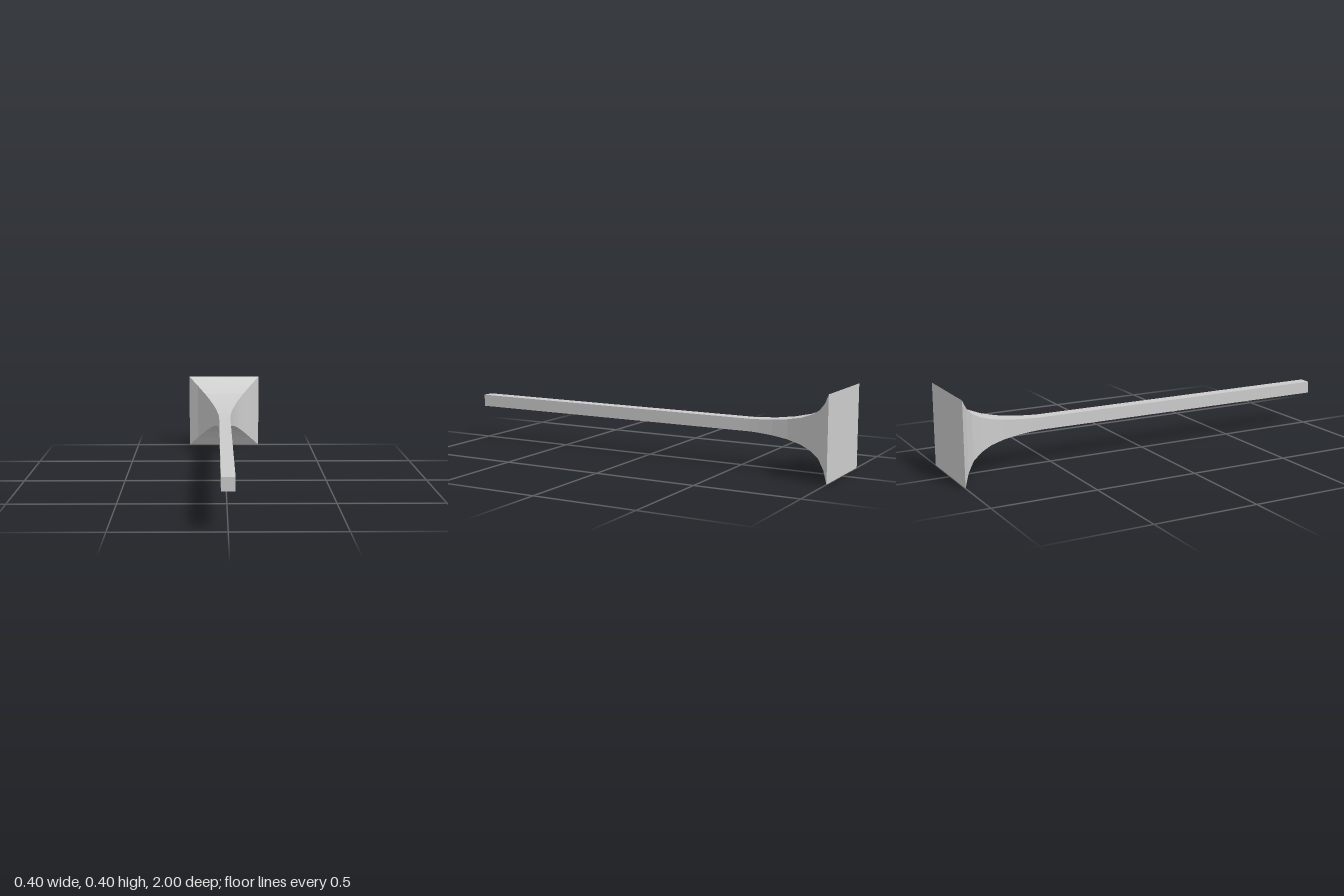
import * as THREE from 'three';

// Square bar with a flared foot: [z, half width] from the back plate to the front tip
const PROFILE = [
  [-1, 0], [-1, 0.2], [-0.965, 0.15], [-0.925, 0.11], [-0.875, 0.082], [-0.82, 0.062],
  [-0.75, 0.047], [-0.67, 0.037], [-0.6, 0.032], [-0.55, 0.03], [1, 0.03], [1, 0],
];

export function createModel() {
  const group = new THREE.Group();
  const material = new THREE.MeshStandardMaterial({ color: 0xcccccc, flatShading: true });

  // Four-sided lathe, turned so its flats face the axes and its length runs along z
  const points = PROFILE.map(([z, half]) => new THREE.Vector2(half * Math.SQRT2, z));
  const geometry = new THREE.LatheGeometry(points, 4, Math.PI / 4)
    .rotateX(Math.PI / 2)
    .toNonIndexed();
  geometry.computeVertexNormals();

  const bar = new THREE.Mesh(geometry, material);
  bar.name = 'flaredBar';
  bar.position.y = 0.2;
  group.add(bar);
  return group;
}
